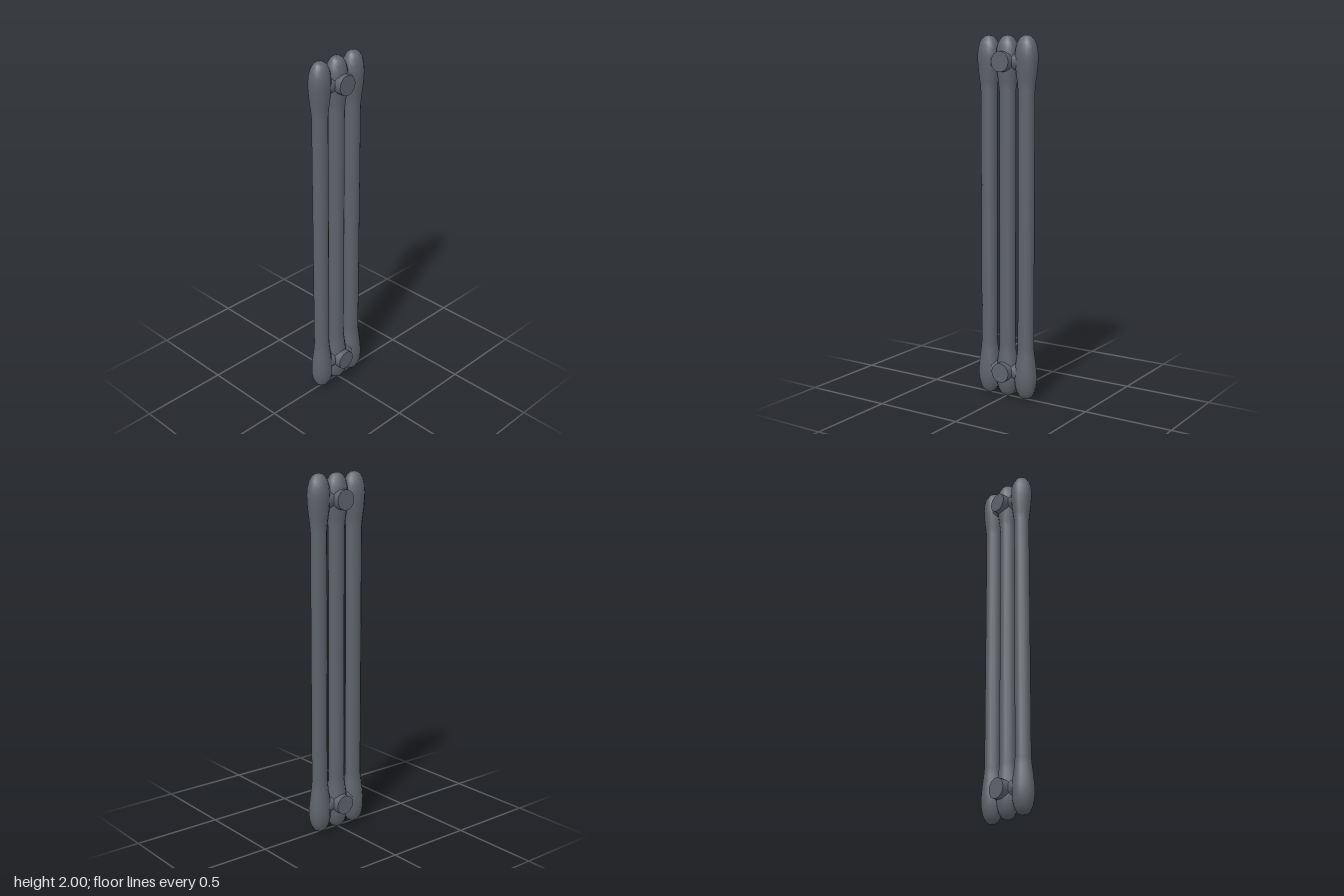
import * as THREE from 'three';

const SIDES = 12;

export function createModel() {
  const group = new THREE.Group();
  const metal = new THREE.MeshStandardMaterial({ color: 0x5e636a });

  // Upper half of a column profile: [radius, height above the middle]
  const upper = [
    [0.046, 0.70], [0.051, 0.75], [0.058, 0.80], [0.063, 0.855],
    [0.064, 0.89], [0.061, 0.925], [0.052, 0.96], [0.037, 0.985], [0.019, 0.997], [0, 1],
  ];
  const lower = upper.map(([r, y]) => [r, -y]).reverse();
  const profile = [...lower, ...upper].map(([r, y]) => new THREE.Vector2(r, y + 1));
  const columnGeometry = new THREE.LatheGeometry(profile, SIDES);

  // Three swollen-ended columns, slightly flattened across x
  [['backColumn', -0.12], ['middleColumn', 0], ['frontColumn', 0.12]].forEach(([name, z]) => {
    const column = new THREE.Mesh(columnGeometry, metal);
    column.name = name;
    column.scale.x = 0.9;
    column.position.z = z;
    group.add(column);
  });

  // Pipes joining the columns, and the hub passing sideways through the middle one
  [['lower', 0.15], ['upper', 1.86]].forEach(([level, y]) => {
    const link = new THREE.Mesh(new THREE.CylinderGeometry(0.046, 0.046, 0.24, SIDES), metal);
    link.name = level + 'LinkPipe';
    link.rotation.x = Math.PI / 2;
    link.position.y = y;

    const hub = new THREE.Mesh(new THREE.CylinderGeometry(0.055, 0.055, 0.16, 16), metal);
    hub.name = level + 'Hub';
    hub.rotation.z = Math.PI / 2;
    hub.position.y = y;
    group.add(link, hub);
  });

  return group;
}
